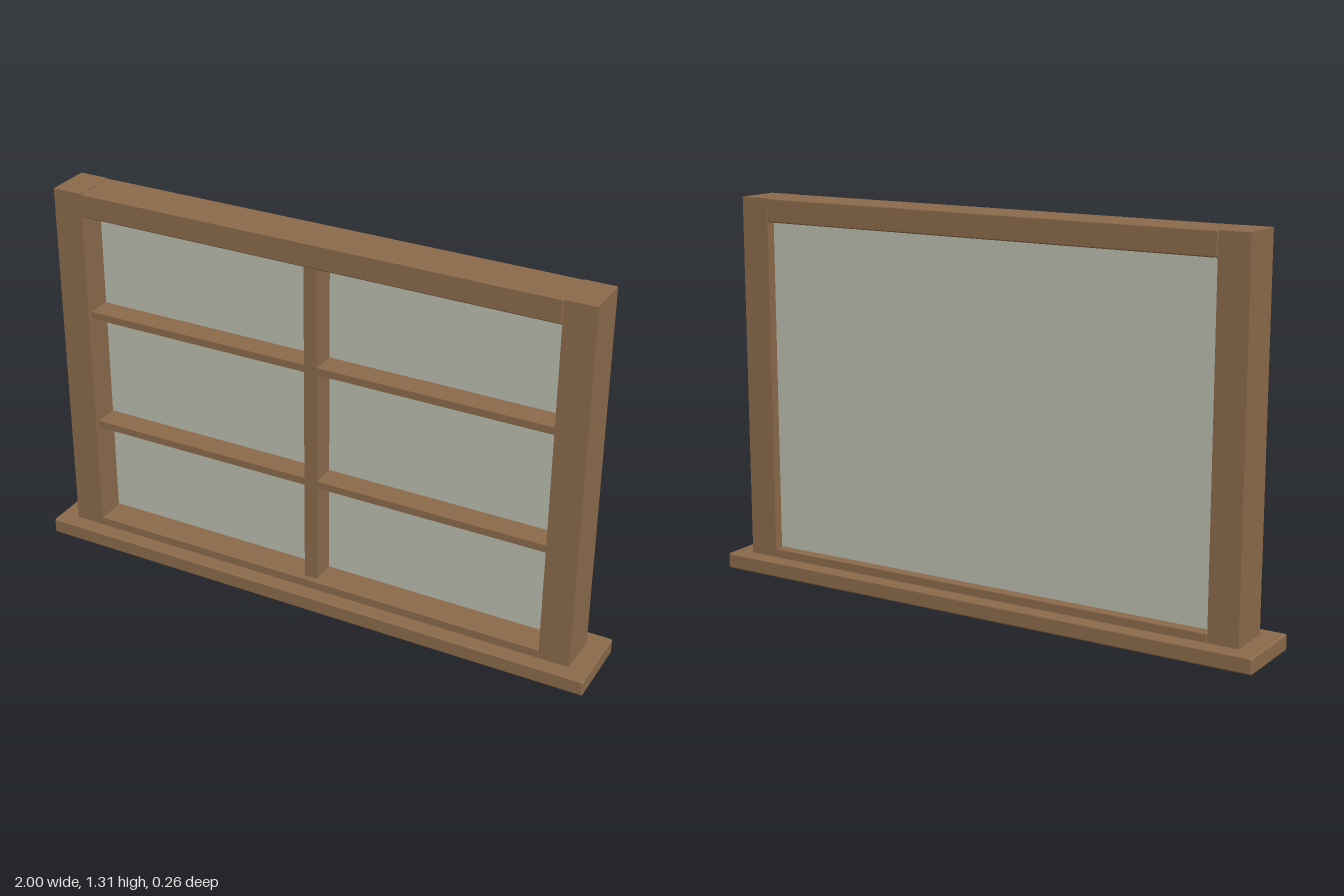
import * as THREE from 'three';
import { RoundedBoxGeometry } from 'three/addons/geometries/RoundedBoxGeometry.js';

const wood = new THREE.MeshStandardMaterial({ color: 0x8b6a4a });
wood.name = 'wood';
const glass = new THREE.MeshStandardMaterial({ color: 0xbabdb0 });
glass.name = 'glass';

// Box from its extents; a bevel above 0 softens the edges.
function block(name, [x0, x1], [y0, y1], [z0, z1], material = wood, bevel = 0) {
  const size = [x1 - x0, y1 - y0, z1 - z0];
  const geometry = bevel
    ? new RoundedBoxGeometry(...size, 2, bevel)
    : new THREE.BoxGeometry(...size);
  const mesh = new THREE.Mesh(geometry, material);
  mesh.name = name;
  mesh.position.set((x0 + x1) / 2, (y0 + y1) / 2, (z0 + z1) / 2);
  return mesh;
}

export function createModel() {
  const model = new THREE.Group();
  model.name = 'window';

  const inner = 0.828, outer = 0.932;
  const sillTop = 0.054, top = 1.306;
  const openBottom = 0.085, openTop = 1.225;
  const depth = [-0.078, 0.078];
  const barDepth = [-0.03, 0.06];

  // Sill and outer frame
  model.add(block('sill', [-1, 1], [0, sillTop], [-0.131, 0.131], wood, 0.006));
  model.add(block('leftJamb', [inner, outer], [sillTop, top], depth));
  model.add(block('rightJamb', [-outer, -inner], [sillTop, top], depth));
  model.add(block('topRail', [-inner, inner], [openTop, top], depth, wood, 0.005));
  model.add(block('bottomRail', [-inner, inner], [sillTop - 0.005, openBottom], depth, wood, 0.005));

  // Single pane set towards the back
  model.add(block('pane', [-inner, inner], [openBottom - 0.005, openTop + 0.005], [-0.045, -0.025], glass));

  // Glazing bars on the front of the pane
  const half = 0.023;
  model.add(block('mullion', [-half, half], [openBottom, openTop], barDepth));
  for (const y of [0.452, 0.867]) {
    const height = [y - 0.0125, y + 0.0125];
    model.add(block('leftGlazingBar', [half, inner], height, barDepth));
    model.add(block('rightGlazingBar', [-inner, -half], height, barDepth));
  }
  return model;
}
